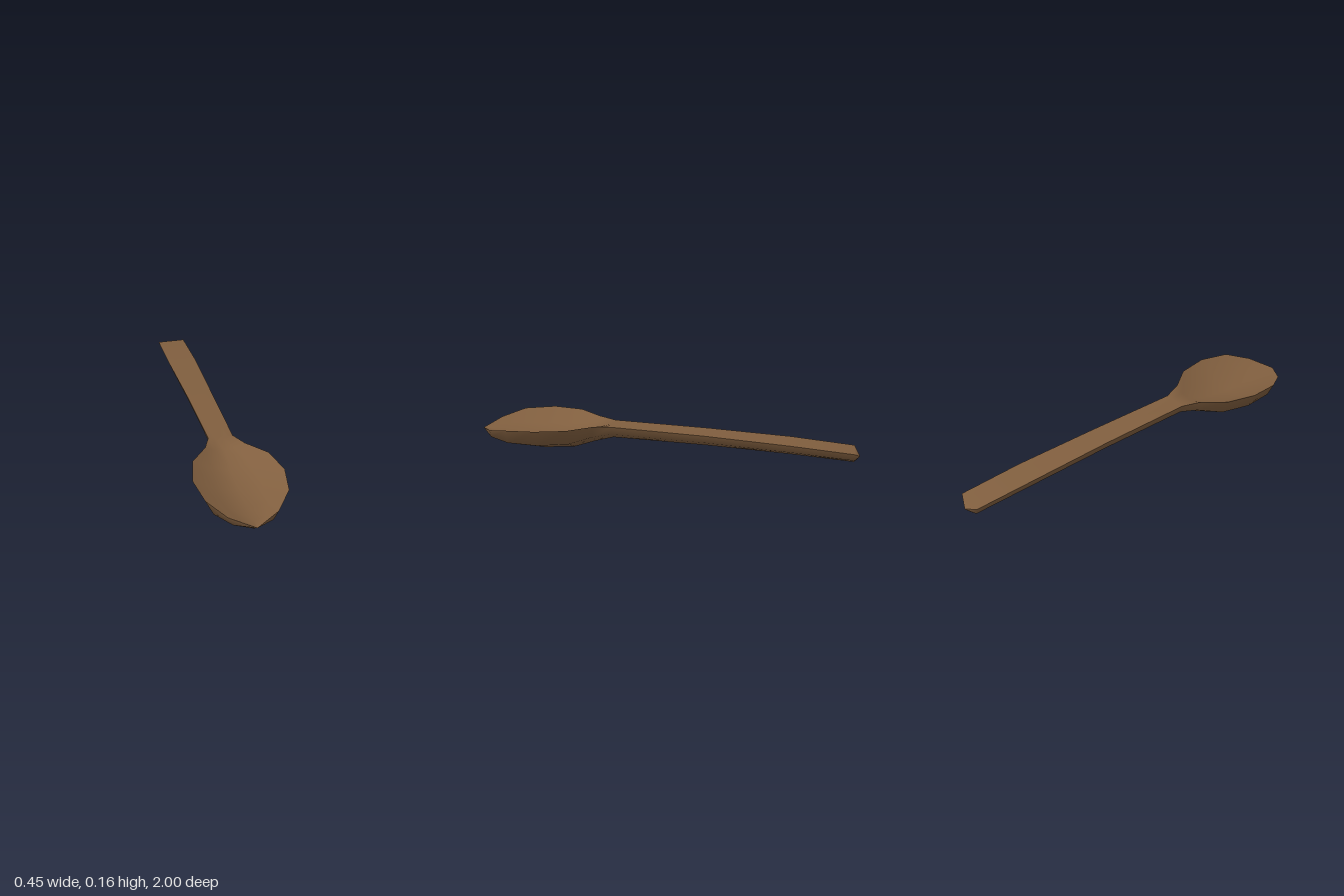
import * as THREE from 'three';

// Cross-sections from bowl tip to handle end: z, half width, rim y, top centre y, bottom y
const SECTIONS = [
  [1.0, 0, 0.094, 0.094, 0.094],
  [0.93, 0.12, 0.121, 0.088, 0.042],
  [0.82, 0.2, 0.15, 0.08, 0.009],
  [0.66, 0.225, 0.16, 0.074, 0.0],
  [0.5, 0.19, 0.161, 0.09, 0.012],
  [0.385, 0.1, 0.158, 0.128, 0.05],
  [0.29, 0.063, 0.15, 0.15, 0.075],
  [-0.2, 0.069, 0.128, 0.128, 0.056],
  [-0.64, 0.078, 0.1, 0.1, 0.03],
  [-0.97, 0.075, 0.07, 0.07, 0.004],
  [-1.0, 0, 0.036, 0.036, 0.036],
];

// Skin a surface across all sections; profile gives the points of one section
function loft(profile) {
  const positions = [];
  const index = [];
  let n = 0;
  SECTIONS.forEach(([z, w, rim, centre, bottom]) => {
    const points = profile(w, rim, centre, bottom);
    n = points.length;
    points.forEach(([x, y]) => positions.push(x, y, z));
  });
  for (let i = 0; i < SECTIONS.length - 1; i++) {
    for (let j = 0; j < n - 1; j++) {
      const a = i * n + j, b = a + 1, c = a + n, d = c + 1;
      if (SECTIONS[i][1] > 0) index.push(a, b, c);
      if (SECTIONS[i + 1][1] > 0) index.push(b, d, c);
      // Close the two pointed ends with single fans
      if (i === 0) index.push(a, d, c);
    }
  }
  // At the handle end the first triangle of each quad already reaches the point
  const geometry = new THREE.BufferGeometry();
  geometry.setAttribute('position', new THREE.Float32BufferAttribute(positions, 3));
  geometry.setIndex(index.filter((_, k) => {
    const t = k - (k % 3);
    const first = SECTIONS[0][1] === 0;
    // Drop the duplicate triangle of the first fan
    return !(first && t < (n - 1) * 6 && (t / 3) % 2 === 1);
  }));
  geometry.computeVertexNormals();
  return geometry;
}

export function createModel() {
  const group = new THREE.Group();
  group.name = 'woodenSpoon';
  const wood = new THREE.MeshStandardMaterial({ color: 0x815f3f });
  wood.name = 'brown wood';
  wood.side = THREE.DoubleSide;

  // Hollow of the bowl and flat upper face of the handle
  const top = new THREE.Mesh(loft((w, rim, centre) => {
    const shoulder = centre + (rim - centre) * 0.3;
    return [[-w, rim], [-w * 0.5, shoulder], [0, centre], [w * 0.5, shoulder], [w, rim]];
  }), wood);
  top.name = 'upperFace';

  // Keeled back of the bowl and rounded underside of the handle
  const under = new THREE.Mesh(loft((w, rim, centre, bottom) => {
    const side = bottom + (rim - bottom) * 0.43;
    return [[w, rim], [w * 0.8, side], [0, bottom], [-w * 0.8, side], [-w, rim]];
  }), wood);
  under.name = 'underside';

  group.add(top, under);
  return group;
}
